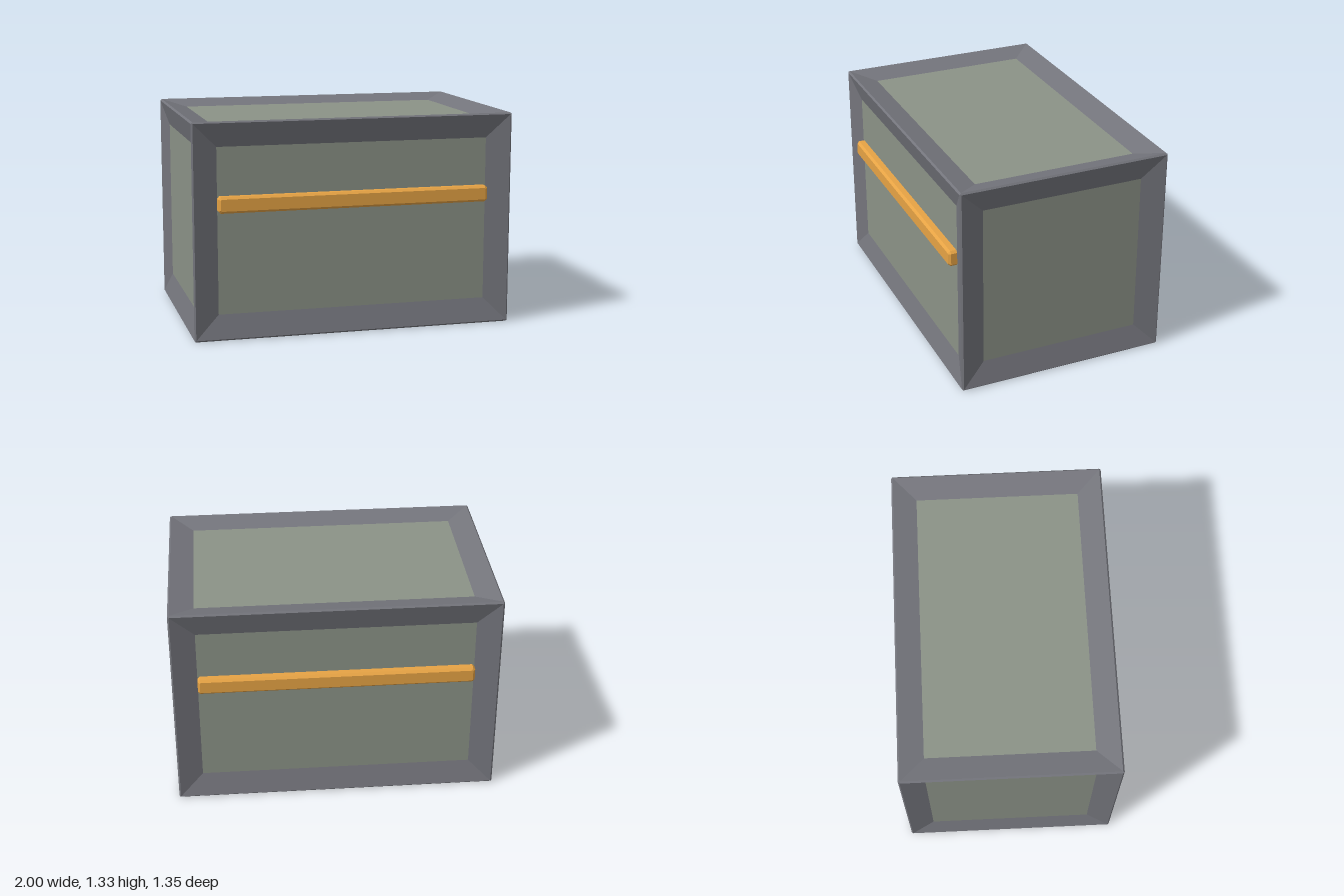
import * as THREE from 'three';

const HALF = [1, 0.665, 0.665]; // half size of the crate along x, y, z
const CHAMFER = 0.01;
const BORDER = 0.155;
const RECESS = 0.04;

const paint = (color) => new THREE.MeshStandardMaterial({ color, flatShading: true });

// Corners of a rectangle on one side of the crate, inset from its edges and sunk inwards
function ring(axis, sign, inset, sink) {
  const u = (axis + 1) % 3, v = (axis + 2) % 3;
  const corners = [[-1, -1], [1, -1], [1, 1], [-1, 1]].map(([a, b]) => {
    const p = [0, 0, 0];
    p[axis] = sign * (HALF[axis] - sink);
    p[u] = a * (HALF[u] - inset);
    p[v] = b * (HALF[v] - inset);
    return p;
  });
  return sign > 0 ? corners : corners.reverse();
}

function quadMesh(name, quads, material) {
  const points = quads.flatMap(([a, b, c, d]) => [a, b, c, a, c, d]).flat();
  const geometry = new THREE.BufferGeometry();
  geometry.setAttribute('position', new THREE.Float32BufferAttribute(points, 3));
  geometry.computeVertexNormals();
  const mesh = new THREE.Mesh(geometry, material);
  mesh.name = name;
  return mesh;
}

export function createModel() {
  const model = new THREE.Group();
  model.name = 'crate';
  const frameMaterial = paint(0x74757c);
  const panelMaterial = paint(0x8b9287);
  const barMaterial = paint(0xe6a344);

  // Six sides: a chamfered rim and sloping border around a recessed panel
  const names = [['left', 'right'], ['top', 'bottom'], ['front', 'back']];
  for (let axis = 0; axis < 3; axis++) {
    [1, -1].forEach((sign, n) => {
      const side = new THREE.Group();
      side.name = names[axis][n] + 'Side';
      const rings = [
        ring(axis, sign, CHAMFER / 2, CHAMFER / 2),
        ring(axis, sign, CHAMFER, 0),
        ring(axis, sign, BORDER, RECESS),
      ];
      const border = [];
      for (let r = 0; r < 2; r++) {
        for (let i = 0; i < 4; i++) {
          const j = (i + 1) % 4;
          border.push([rings[r][i], rings[r][j], rings[r + 1][j], rings[r + 1][i]]);
        }
      }
      side.add(quadMesh('border', border, frameMaterial));
      side.add(quadMesh('panel', [rings[2]], panelMaterial));
      side.position.y = HALF[1];
      model.add(side);
    });
  }

  // Chamfered bar across the front and back panels
  const w = 0.845, h = 0.05, c = 0.014;
  const outline = new THREE.Shape([
    [-w + c, -h], [w - c, -h], [w, -h + c], [w, h - c],
    [w - c, h], [-w + c, h], [-w, h - c], [-w, -h + c],
  ].map(([x, y]) => new THREE.Vector2(x, y)));
  const barGeometry = new THREE.ExtrudeGeometry(outline, {
    depth: 0.04, bevelSegments: 1, bevelSize: c, bevelThickness: c, bevelOffset: -c,
  });
  barGeometry.translate(0, 0, 0.677 - 0.04 - c);
  ['frontBar', 'backBar'].forEach((name, i) => {
    const bar = new THREE.Mesh(barGeometry, barMaterial);
    bar.name = name;
    bar.position.y = 0.83;
    bar.rotation.y = i * Math.PI;
    model.add(bar);
  });

  return model;
}
